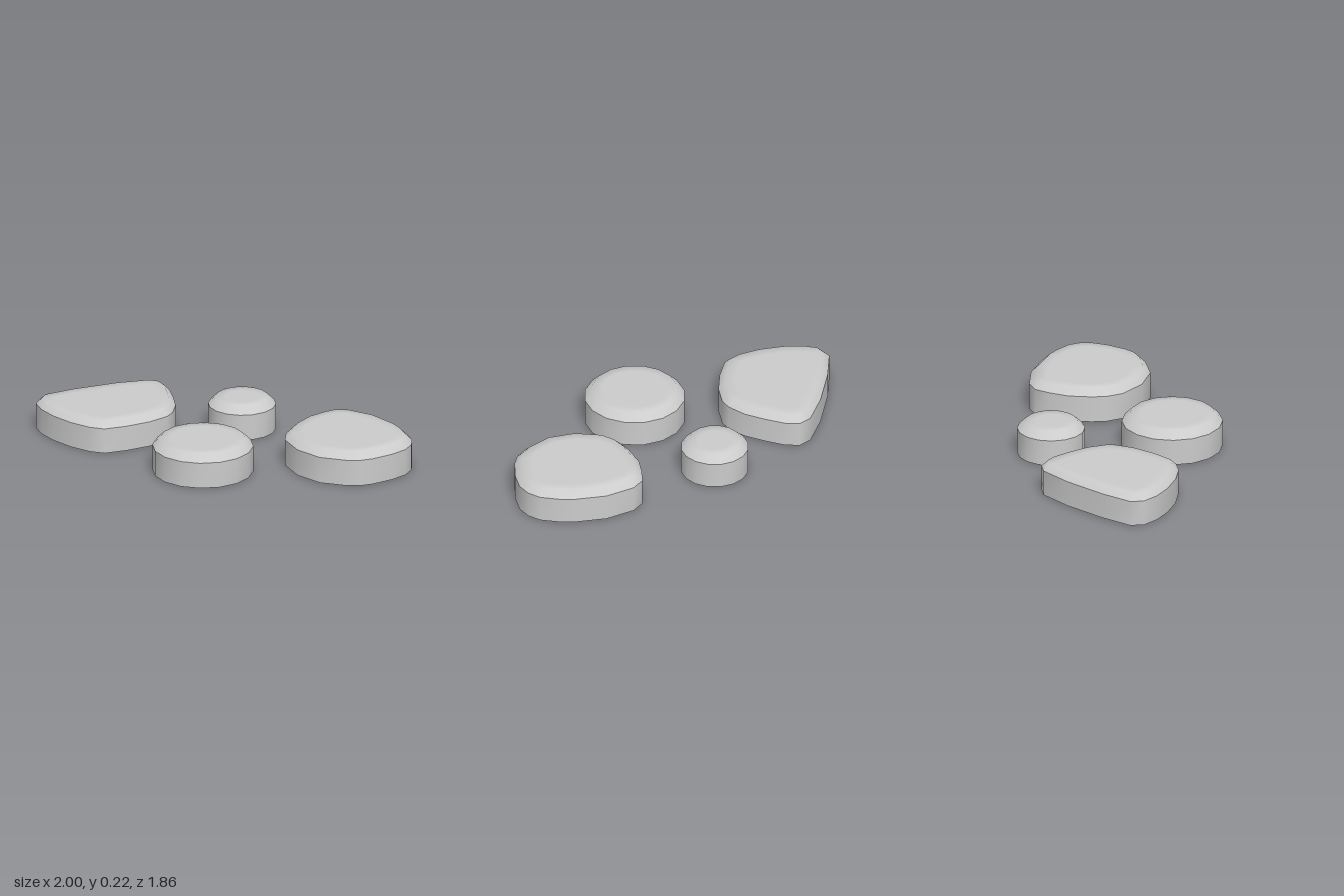
import * as THREE from 'three';

const material = new THREE.MeshStandardMaterial({ color: 0xcccccc });

// Outlines as [x, z], clockwise seen from above
const taperedOutline = [
  [-0.99, -0.845], [-0.93, -0.91], [-0.71, -0.93], [-0.41, -0.925], [-0.18, -0.89], [-0.11, -0.83],
  [-0.10, -0.74], [-0.13, -0.60], [-0.17, -0.465], [-0.24, -0.35], [-0.30, -0.30], [-0.44, -0.255],
  [-0.605, -0.24], [-0.76, -0.25], [-0.835, -0.315], [-0.915, -0.44], [-0.975, -0.595], [-1, -0.73],
];
const broadOutline = [
  [0.71, 0.08], [0.80, 0.125], [0.92, 0.285], [0.99, 0.49], [1.0, 0.58], [0.995, 0.705], [0.955, 0.79],
  [0.885, 0.855], [0.77, 0.90], [0.625, 0.925], [0.54, 0.92], [0.46, 0.885], [0.32, 0.77], [0.24, 0.59],
  [0.235, 0.395], [0.285, 0.29], [0.355, 0.22], [0.48, 0.135], [0.61, 0.095],
];

function roundOutline(x, z, radius, sides = 16) {
  return Array.from({ length: sides }, (_, i) => {
    const a = 0.06 + (i / sides) * Math.PI * 2;
    return [x + radius * Math.sin(a), z - radius * Math.cos(a)];
  });
}

// Moves every edge of an outline inwards by the same distance
function inset(outline, distance) {
  const n = outline.length;
  const inward = (a, b) => new THREE.Vector2(a[1] - b[1], b[0] - a[0]).normalize();
  return outline.map((p, i) => {
    const n1 = inward(outline[(i + n - 1) % n], p);
    const n2 = inward(p, outline[(i + 1) % n]);
    const k = distance / (1 + n1.dot(n2));
    return [p[0] + (n1.x + n2.x) * k, p[1] + (n1.y + n2.y) * k];
  });
}

function makeStone(name, outline, height, bevel) {
  const n = outline.length;
  const positions = [];
  const indices = [];
  const addRing = (ring, y) => {
    const start = positions.length / 3;
    ring.forEach(([x, z]) => positions.push(x, y, z));
    return start;
  };
  const bridge = (low, high) => {
    for (let i = 0; i < n; i++) {
      const j = (i + 1) % n;
      indices.push(low + j, low + i, high + i, low + j, high + i, high + j);
    }
  };
  const cap = (ring, y, start, up) => {
    const centre = positions.length / 3;
    const sum = ring.reduce((s, p) => [s[0] + p[0] / n, s[1] + p[1] / n], [0, 0]);
    positions.push(sum[0], y, sum[1]);
    for (let i = 0; i < n; i++) {
      const a = start + i, b = start + (i + 1) % n;
      indices.push(centre, up ? b : a, up ? a : b);
    }
  };

  // Upright wall
  const shoulder = height - bevel;
  bridge(addRing(outline, 0), addRing(outline, shoulder));

  // Bevel blending softly into the flat top
  const rim = inset(outline, bevel);
  const flat = inset(outline, 0.11);
  const lower = addRing(outline, shoulder);
  const middle = addRing(rim, height);
  const upper = addRing(flat, height);
  bridge(lower, middle);
  bridge(middle, upper);
  cap(flat, height, upper, true);

  // Underside
  cap(outline, 0, addRing(outline, 0), false);

  const geometry = new THREE.BufferGeometry();
  geometry.setAttribute('position', new THREE.Float32BufferAttribute(positions, 3));
  geometry.setIndex(indices);
  geometry.computeVertexNormals();
  const mesh = new THREE.Mesh(geometry, material);
  mesh.name = name;
  return mesh;
}

export function createModel() {
  const group = new THREE.Group();
  group.name = 'steppingStones';
  group.add(
    makeStone('taperedStone', taperedOutline, 0.21, 0.042),
    makeStone('broadStone', broadOutline, 0.222, 0.047),
    makeStone('roundStone', roundOutline(-0.287, 0.27, 0.327), 0.222, 0.05),
    makeStone('smallRoundStone', roundOutline(0.235, -0.325, 0.22), 0.222, 0.05),
  );
  return group;
}
